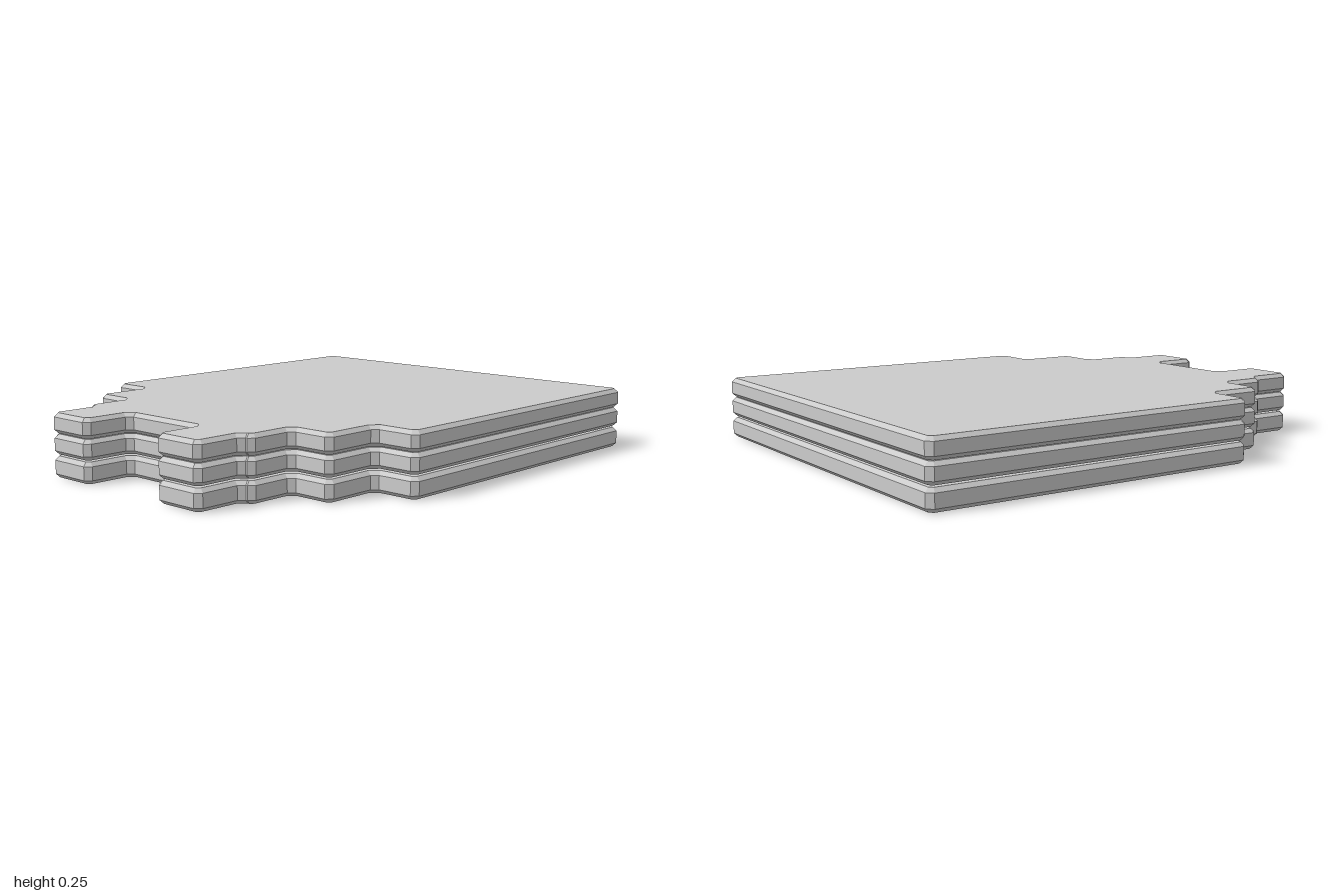
import * as THREE from 'three';

const BEVEL = 0.015;

// Right half of the stepped plate outline as (x, z), from back to front notch
const half = [
  [0.823, -1], [0.823, 0.37], [0.638, 0.37], [0.638, 0.605],
  [0.458, 0.605], [0.458, 0.8], [0.412, 0.8], [0.412, 1],
  [0.192, 1], [0.192, 0.8],
];

// Closed outline with every corner cut off at 45 degrees
function chamferedShape(points, cut) {
  const pts = points.map(([x, y]) => new THREE.Vector2(x, y));
  const out = [];
  pts.forEach((p, i) => {
    const prev = pts[(i + pts.length - 1) % pts.length];
    const next = pts[(i + 1) % pts.length];
    for (const q of [prev, next]) {
      const d = q.clone().sub(p);
      const len = d.length();
      out.push(p.clone().addScaledVector(d, Math.min(cut, len * 0.42) / len));
    }
  });
  return new THREE.Shape(out);
}

export function createModel() {
  const group = new THREE.Group();
  group.name = 'plateStack';
  const material = new THREE.MeshStandardMaterial({ color: 0xcccccc, flatShading: true });

  const mirrored = half.map(([x, z]) => [-x, z]).reverse();
  const shape = chamferedShape([...half, ...mirrored], 0.022);

  // Three identical bevelled plates: [name, bottom, top]
  const plates = [
    ['bottomPlate', 0, 0.082],
    ['middlePlate', 0.088, 0.166],
    ['topPlate', 0.168, 0.246],
  ];
  for (const [name, bottom, top] of plates) {
    const geometry = new THREE.ExtrudeGeometry(shape, {
      depth: top - bottom - 2 * BEVEL,
      bevelEnabled: true,
      bevelSegments: 1,
      bevelThickness: BEVEL,
      bevelSize: BEVEL,
      bevelOffset: -BEVEL,
    });
    geometry.rotateX(Math.PI / 2);
    const plate = new THREE.Mesh(geometry, material);
    plate.name = name;
    plate.position.y = top - BEVEL;
    group.add(plate);
  }
  return group;
}
